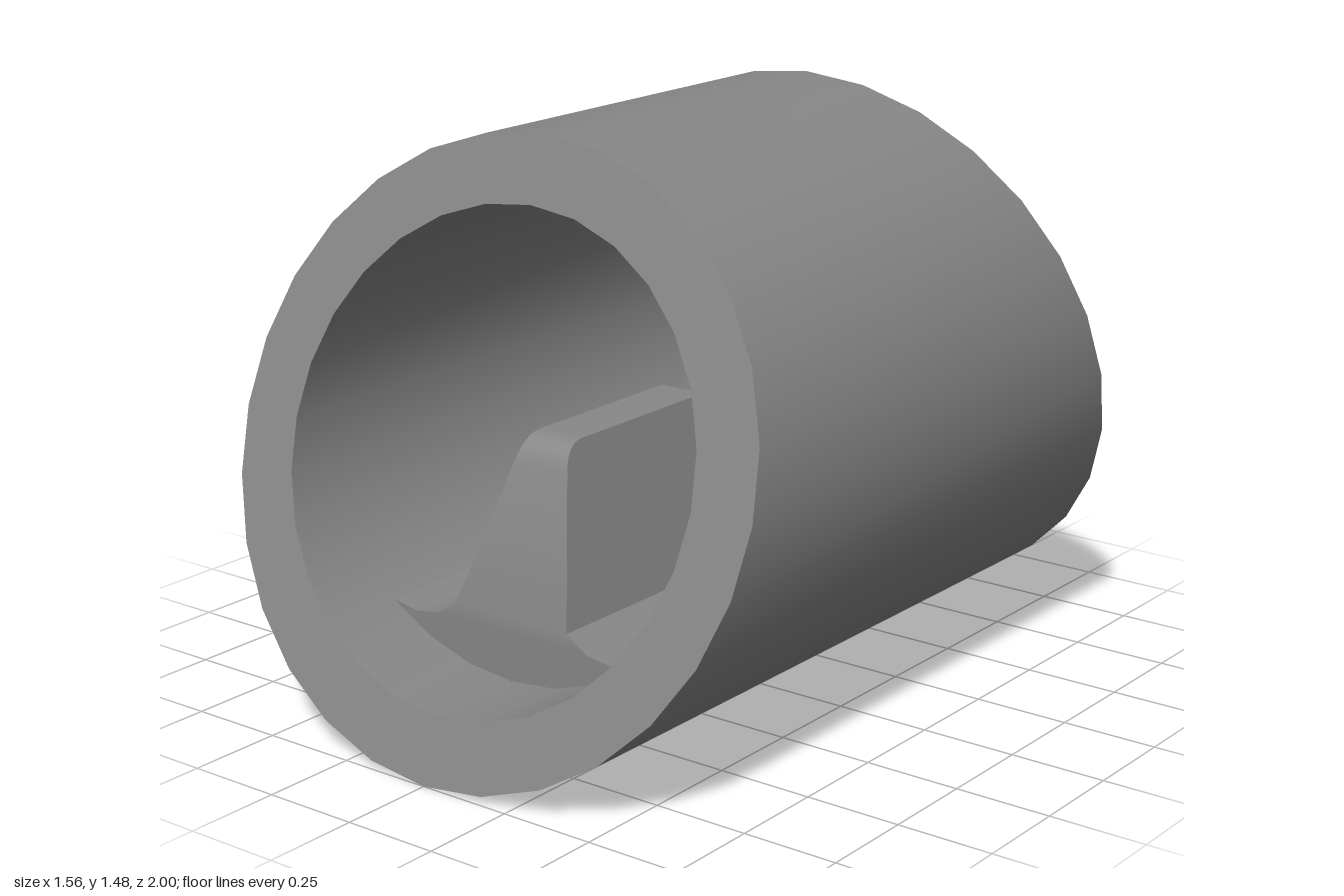
import * as THREE from 'three';
import { mergeGeometries, toCreasedNormals } from 'three/addons/utils/BufferGeometryUtils.js';

const SIDES = 28;
const CENTRE_Y = 0.742;
const BLADE_DEPTH = 0.68;
const NECK_Y = 0.325;

const material = new THREE.MeshStandardMaterial({ color: 0x878787 });

// Point k of an oval ring, counted from the bottom towards +x
function ovalPoint(rx, ry, k) {
  const a = (k / SIDES) * Math.PI * 2;
  return new THREE.Vector2(rx * Math.sin(a), CENTRE_Y - ry * Math.cos(a));
}

function oval(rx, ry) {
  return Array.from({ length: SIDES }, (_, k) => ovalPoint(rx, ry, k));
}

// Move every vertex by a rule
function reshape(geometry, rule) {
  const p = geometry.attributes.position;
  const v = new THREE.Vector3();
  for (let i = 0; i < p.count; i++) {
    rule(v.fromBufferAttribute(p, i));
    p.setXYZ(i, v.x, v.y, v.z);
  }
  return geometry;
}

// Smooth the shallow angles and keep the sharp edges
function part(name, geometry) {
  const mesh = new THREE.Mesh(toCreasedNormals(geometry, 0.5), material);
  mesh.name = name;
  return mesh;
}

// Oval tube whose two ends are cut at a slant, longest at the bottom
function tubeGeometry() {
  const shape = new THREE.Shape(oval(0.778, 0.742));
  shape.holes.push(new THREE.Path(oval(0.61, 0.58)));
  const geometry = new THREE.ExtrudeGeometry(shape, { depth: 2, bevelEnabled: false });
  geometry.translate(0, 0, -1);
  return reshape(geometry, (v) => { v.z *= 1 - 0.315 * v.y; });
}

// Flared foot that follows the inner floor of the tube
function footGeometry() {
  const floor = [-3, -2, -1, 0, 1, 2, 3].map((k) => ovalPoint(0.61, 0.58, k));
  const flare = [[0.305, 0.275], [0.235, 0.285], [0.175, NECK_Y]];
  const right = flare.map(([x, y]) => new THREE.Vector2(x, y));
  const left = flare.map(([x, y]) => new THREE.Vector2(-x, y)).reverse();
  const shape = new THREE.Shape([...floor, ...right, ...left]);
  return new THREE.ExtrudeGeometry(shape, { depth: BLADE_DEPTH, bevelEnabled: false });
}

// Tapered blade with a leaning front and a rounded front top edge
function bladeGeometry() {
  const side = new THREE.Shape();
  side.moveTo(0, NECK_Y);
  side.lineTo(BLADE_DEPTH, NECK_Y);
  side.lineTo(0.56, 0.675);
  side.quadraticCurveTo(0.54, CENTRE_Y, 0.48, CENTRE_Y);
  side.lineTo(0, CENTRE_Y);
  const geometry = new THREE.ExtrudeGeometry(side, { depth: 2, bevelEnabled: false, curveSegments: 6 });
  geometry.translate(0, 0, -1);
  geometry.rotateY(-Math.PI / 2);
  return reshape(geometry, (v) => {
    v.x *= THREE.MathUtils.mapLinear(v.y, NECK_Y, CENTRE_Y, 0.175, 0.065);
  });
}

export function createModel() {
  const model = new THREE.Group();
  model.name = 'slantedTubeWithBlade';
  // Foot and blade are one mesh so the front shades smoothly across the neck
  model.add(
    part('tube', tubeGeometry()),
    part('blade', mergeGeometries([footGeometry(), bladeGeometry()])),
  );
  return model;
}
